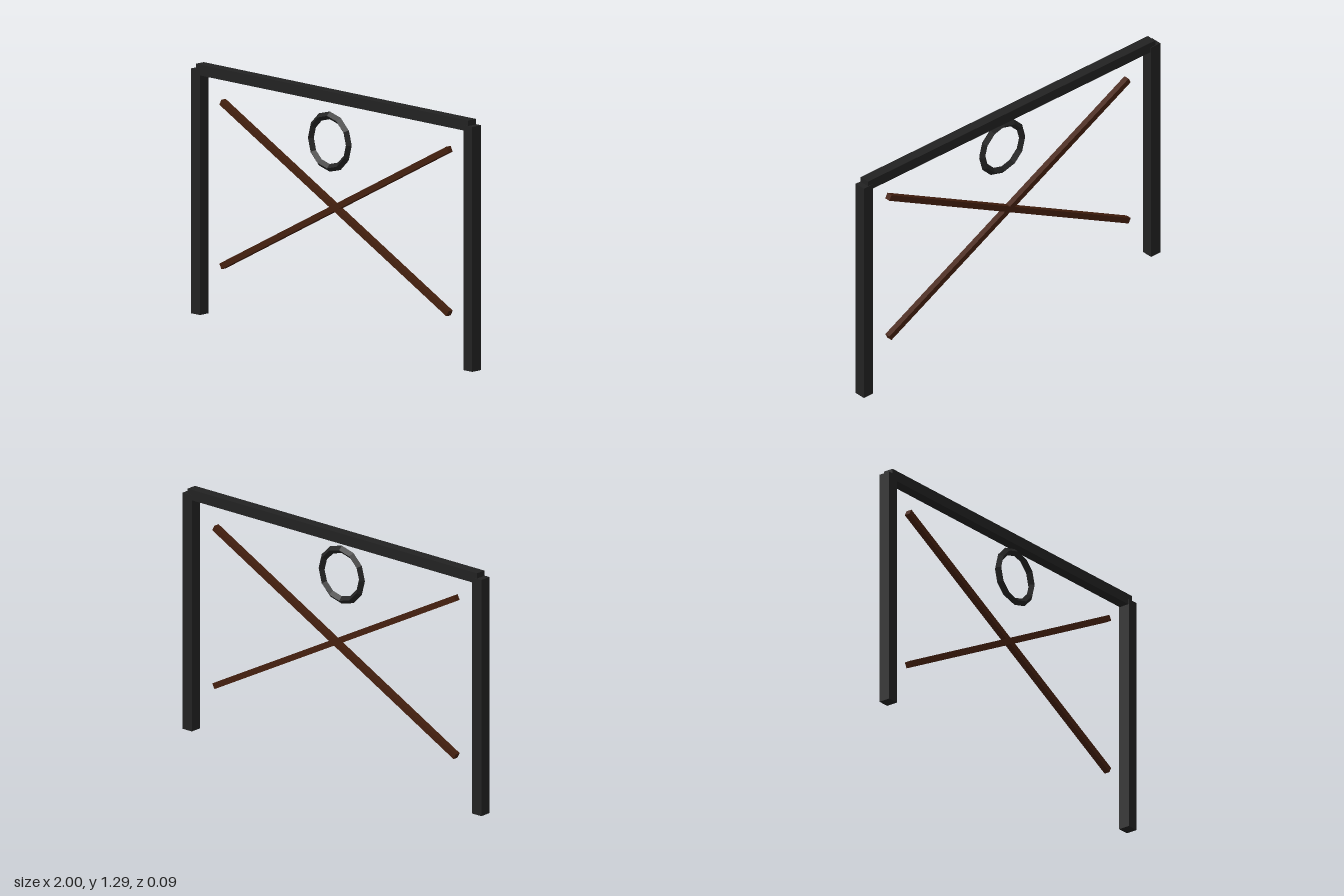
import * as THREE from 'three';

export function createModel() {
  const group = new THREE.Group();
  const darkMetal = new THREE.MeshStandardMaterial({ color: 0x222222 });
  darkMetal.name = 'darkMetal';
  const brownWood = new THREE.MeshStandardMaterial({ color: 0x45200f });
  brownWood.name = 'brownWood';
  const frameZ = -0.016;

  const add = (name, geometry, material, x, y, z) => {
    const mesh = new THREE.Mesh(geometry, material);
    mesh.name = name;
    mesh.position.set(x, y, z);
    group.add(mesh);
    return mesh;
  };

  // Posts and diagonal braces, mirrored left and right
  for (const [side, s] of [['left', 1], ['right', -1]]) {
    add(side + 'Post', new THREE.BoxGeometry(0.062, 1.26, 0.062), darkMetal, s * 0.969, 0.63, frameZ);
    const brace = add(side + 'Brace', new THREE.BoxGeometry(1.823, 0.031, 0.031), brownWood, 0, 0.69, frameZ);
    brace.rotation.z = s * 0.482;
  }

  // Top beam, slightly slimmer than the posts
  add('topBeam', new THREE.BoxGeometry(1.938, 0.056, 0.056), darkMetal, 0, 1.26, frameZ);

  // Faceted ring with a diamond section, just in front of the frame
  const ring = new THREE.TorusGeometry(0.135, 0.02, 4, 12).toNonIndexed();
  ring.computeVertexNormals();
  add('ring', ring, darkMetal, 0, 1.036, 0.028);

  return group;
}
